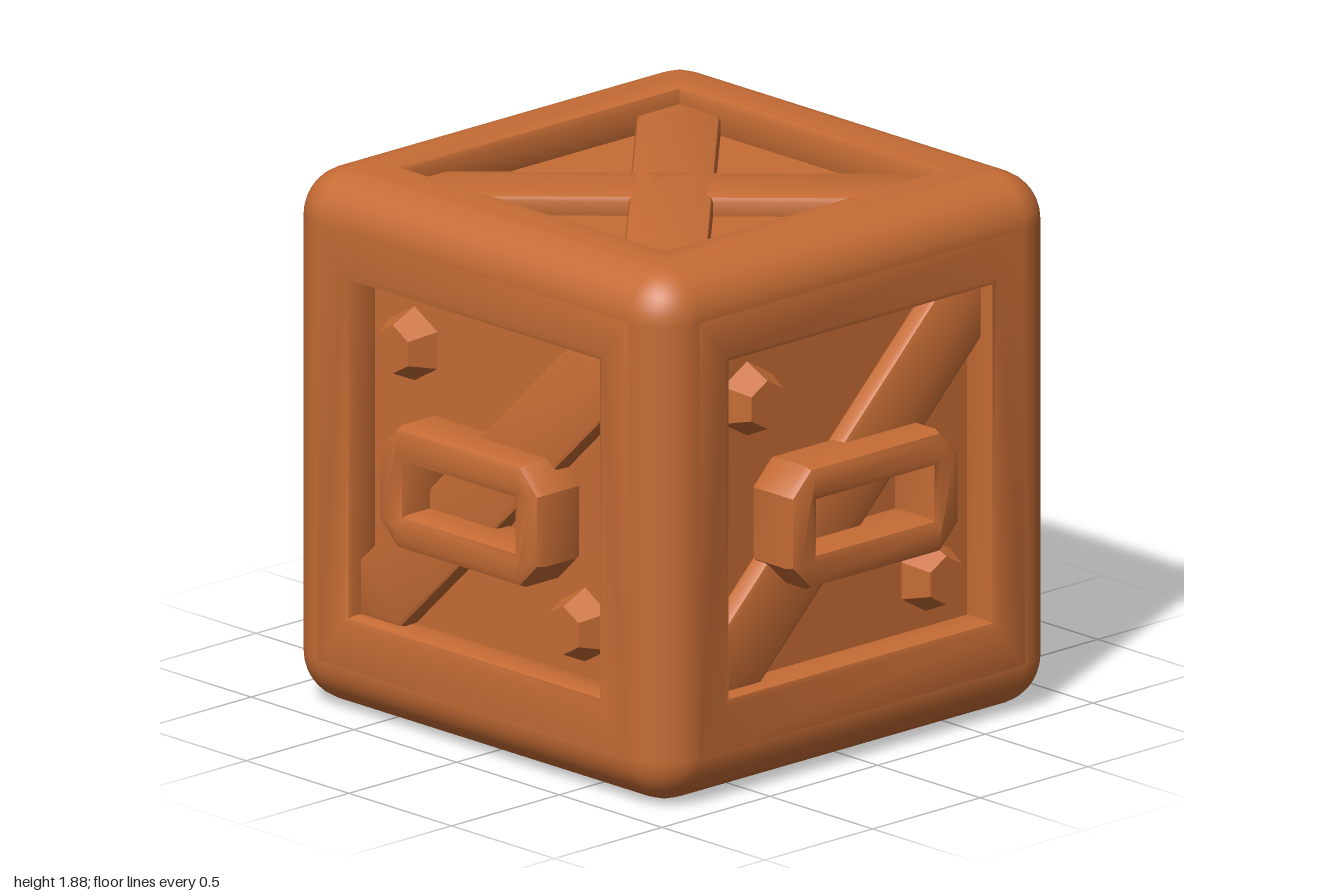
import * as THREE from 'three';
import { RoundedBoxGeometry } from 'three/addons/geometries/RoundedBoxGeometry.js';
import { toCreasedNormals } from 'three/addons/utils/BufferGeometryUtils.js';

const W = 1.85, H = 1.875, R = 0.17;   // crate width, height, edge radius
const PANEL = -0.125;                  // panel depth below the outer face

const rustOrange = new THREE.MeshStandardMaterial({ color: 0xc66c35 });
rustOrange.name = 'rustOrange';

function mesh(name, geometry, parent) {
  const m = new THREE.Mesh(geometry, rustOrange);
  m.name = name;
  parent.add(m);
  return m;
}

const polygon = (pts) => pts.map(([x, y]) => new THREE.Vector2(x, y));

// Rectangle outline with cut corners
function rectangle(a, b, cut = 0, cy = 0) {
  return polygon(cut
    ? [[a, b - cut], [a - cut, b], [cut - a, b], [-a, b - cut],
       [-a, cut - b], [cut - a, -b], [a - cut, -b], [a, cut - b]].map(([x, y]) => [x, y + cy])
    : [[a, b + cy], [-a, b + cy], [-a, cy - b], [a, cy - b]]);
}

// Solid from z0 to z1 with bevelled rims that stay inside the outline
function solid(outline, z0, z1, bevel, hole) {
  const shape = new THREE.Shape(outline);
  if (hole) shape.holes.push(new THREE.Path(hole));
  const g = new THREE.ExtrudeGeometry(shape, {
    depth: z1 - z0 - 2 * bevel, bevelEnabled: true, bevelSegments: 2,
    bevelThickness: bevel, bevelSize: bevel, bevelOffset: -bevel,
  });
  g.translate(0, 0, z0 + bevel);
  return toCreasedNormals(g, 0.7);
}

// Rounded shell with its six large flat faces taken out
function roundedEdges() {
  const box = new RoundedBoxGeometry(W, H, W, 4, R);
  const p = box.attributes.position, n = box.attributes.normal;
  const pos = [], nor = [];
  const tri = new THREE.Triangle();
  for (let i = 0; i < p.count; i += 3) {
    tri.setFromAttributeAndIndices(p, i, i + 1, i + 2);
    if (tri.getArea() > 0.8) continue;
    for (let k = i; k < i + 3; k++) {
      pos.push(p.getX(k), p.getY(k), p.getZ(k));
      nor.push(n.getX(k), n.getY(k), n.getZ(k));
    }
  }
  const g = new THREE.BufferGeometry();
  g.setAttribute('position', new THREE.Float32BufferAttribute(pos, 3));
  g.setAttribute('normal', new THREE.Float32BufferAttribute(nor, 3));
  return g;
}

// Diagonal plank clipped to the opening; dir 1 rises to the right, -1 falls
function addBrace(parent, a, b, cy, dir) {
  const w = 0.2;
  const outline = polygon([[a, b], [a - w, b], [-a, w - b], [-a, -b], [w - a, -b], [a, b - w]]
    .map(([x, y]) => [x * dir, y + cy]));
  mesh('brace', solid(outline, PANEL - 0.03, -0.055, 0.02), parent);
}

function addFrame(parent, halfHeight, a, b, cy) {
  const outer = rectangle(W / 2 - R + 0.025, halfHeight - R + 0.025);
  mesh('faceFrame', solid(outer, PANEL - 0.02, 0, 0.025, rectangle(a, b, 0, cy)), parent);
}

function sideFace(dir) {
  const face = new THREE.Group();
  const cy = 0.007;
  addFrame(face, H / 2, 0.605, 0.59, cy);
  addBrace(face, 0.615, 0.6, cy, dir);

  // Loop handle
  mesh('handle', solid(rectangle(0.392, 0.216, 0.09, -0.042), PANEL - 0.02, 0.075, 0.035,
    rectangle(0.265, 0.09, 0, -0.042)), face);

  // Two six-sided bolts in the corners the brace leaves free
  for (const s of [1, -1]) {
    const g = new THREE.CylinderGeometry(0.085, 0.135, 0.11, 6).toNonIndexed();
    g.computeVertexNormals();
    g.rotateX(Math.PI / 2);
    mesh('bolt', g, face).position.set(-0.415 * dir * s, 0.4 * s, PANEL + 0.045);
  }
  return face;
}

function endFace() {
  const face = new THREE.Group();
  addFrame(face, W / 2, 0.635, 0.63, 0);
  addBrace(face, 0.645, 0.64, 0, 1);
  addBrace(face, 0.645, 0.64, 0, -1);
  return face;
}

export function createModel() {
  const crate = new THREE.Group();
  crate.name = 'crate';
  const body = new THREE.Group();
  body.name = 'body';
  body.position.y = H / 2;
  crate.add(body);

  mesh('roundedEdges', roundedEdges(), body);
  mesh('panels', new THREE.BoxGeometry(W + 2 * PANEL, H + 2 * PANEL, W + 2 * PANEL), body);

  // Four sides, turned about the upright axis
  [['frontSide', 0, 1], ['leftSide', 1, -1], ['backSide', 2, -1], ['rightSide', 3, 1]]
    .forEach(([name, turn, dir]) => {
      const face = sideFace(dir);
      face.name = name;
      face.rotation.y = turn * Math.PI / 2;
      face.translateZ(W / 2);
      body.add(face);
    });

  // Lid and base with crossed planks
  for (const [name, s] of [['lid', -1], ['base', 1]]) {
    const face = endFace();
    face.name = name;
    face.rotation.x = s * Math.PI / 2;
    face.translateZ(H / 2);
    body.add(face);
  }
  return crate;
}
